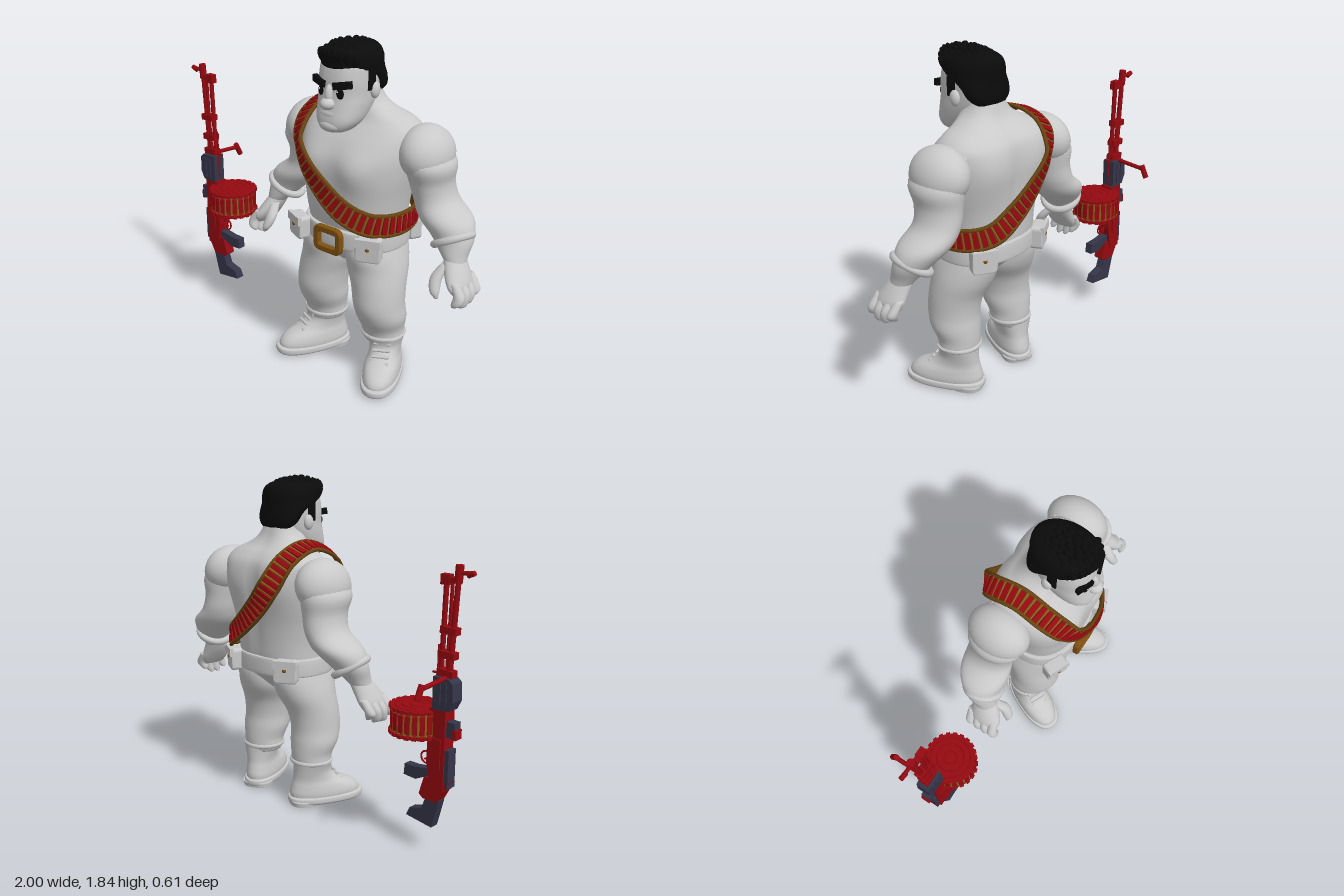
import * as THREE from 'three';

const mat = (name, color, side = THREE.FrontSide) => {
  const m = new THREE.MeshStandardMaterial({ color, side });
  m.name = name;
  return m;
};
const V = (x, y, z) => new THREE.Vector3(x, y, z);

// Smooth stack of (super)ellipses; rows are [y, cx, cz, rx, rz]
function loft(rows, { n = 32, sub = 5, p = 2, bump } = {}) {
  if (rows[0][0] > rows.at(-1)[0]) rows = [...rows].reverse();
  const A = new THREE.CatmullRomCurve3(rows.map(r => V(r[1], r[0], r[2])), false, 'catmullrom');
  const B = new THREE.CatmullRomCurve3(rows.map(r => V(r[3], 0, r[4])), false, 'catmullrom');
  const m = (rows.length - 1) * sub, pos = [], idx = [];
  const pw = v => Math.sign(v) * Math.abs(v) ** (2 / p);
  for (let j = 0; j <= m; j++) {
    const c = A.getPoint(j / m), r = B.getPoint(j / m);
    for (let i = 0; i < n; i++) {
      const a = i / n * Math.PI * 2;
      const v = V(c.x + r.x * pw(Math.cos(a)), c.y, c.z + r.z * pw(Math.sin(a)));
      if (bump) bump(v);
      pos.push(v.x, v.y, v.z);
      if (j < m) {
        const q = j * n + i, e = j * n + (i + 1) % n;
        idx.push(q, q + n, e, e, q + n, e + n);
      }
    }
  }
  const b = pos.length / 3, c0 = A.getPoint(0), c1 = A.getPoint(1);
  pos.push(c0.x, c0.y, c0.z, c1.x, c1.y, c1.z);
  for (let i = 0; i < n; i++) {
    const k = (i + 1) % n;
    idx.push(b, i, k, b + 1, m * n + k, m * n + i);
  }
  const g = new THREE.BufferGeometry();
  g.setAttribute('position', new THREE.Float32BufferAttribute(pos, 3));
  g.setIndex(idx);
  g.computeVertexNormals();
  return g;
}

export function createModel() {
  const light = mat('light grey', 0xc9c9c9), black = mat('black', 0x0b0b0c), red = mat('red', 0x960910);
  const brown = mat('leather brown', 0x6b4512, THREE.DoubleSide), gold = mat('brass', 0x86621c);
  const bronze = mat('bronze', 0x80500f), dark = mat('slate', 0x35354a);
  const root = new THREE.Group(), body = new THREE.Group();
  body.name = 'figure';
  body.position.x = 0.27;
  root.add(body);

  const add = (parent, name, geo, m, x = 0, y = 0, z = 0) => {
    const o = new THREE.Mesh(geo, m);
    o.name = name;
    o.position.set(x, y, z);
    parent.add(o);
    return o;
  };
  const unit = new THREE.SphereGeometry(1, 24, 16);
  const ball = (parent, name, m, x, y, z, sx, sy, sz) => {
    const o = add(parent, name, unit, m, x, y, z);
    o.scale.set(sx, sy, sz);
    return o;
  };
  const box = (parent, name, m, w, h, d, x, y, z, rz = 0) => {
    const o = add(parent, name, new THREE.BoxGeometry(w, h, d), m, x, y, z);
    o.rotation.z = rz;
    return o;
  };
  const rod = (parent, name, m, a, b, r, r2 = r) => {
    const d = b.clone().sub(a), o = add(parent, name, new THREE.CylinderGeometry(r2, r, d.length(), 12), m);
    o.position.copy(a).addScaledVector(d, 0.5);
    o.quaternion.setFromUnitVectors(V(0, 1, 0), d.normalize());
    return o;
  };

  // Torso with chest and shoulder-blade bulges
  const gauss = (d, w) => Math.exp(-d * d / (w * w));
  add(body, 'torso', loft([
    [0.66, 0, 0.02, 0.06, 0.1], [0.71, 0, 0.02, 0.2, 0.15], [0.77, 0, 0.01, 0.268, 0.195], [0.86, 0, 0, 0.265, 0.205],
    [0.95, 0, 0.005, 0.272, 0.218], [1.05, 0, 0.003, 0.288, 0.225], [1.15, 0, -0.003, 0.31, 0.23], [1.25, 0, -0.013, 0.325, 0.23],
    [1.33, 0, -0.03, 0.33, 0.21], [1.39, 0, -0.045, 0.32, 0.18], [1.435, 0, -0.045, 0.275, 0.145],
    [1.47, 0, -0.03, 0.2, 0.12], [1.51, 0, -0.015, 0.14, 0.105], [1.56, 0, 0, 0.108, 0.1], [1.62, 0, 0.01, 0.1, 0.09]],
  { n: 64, p: 2.4, bump: v => {
    const w = gauss(Math.abs(v.x) - 0.14, 0.1);
    if (v.z > 0.02) v.z += 0.032 * w * gauss(v.y - 1.2, 0.1);
    else v.z += 0.02 * gauss(v.x, 0.04) * gauss(v.y - 1.2, 0.25) - 0.02 * gauss(Math.abs(v.x) - 0.2, 0.12) * gauss(v.y - 1.27, 0.14);
  } }), light);

  // Head and face
  add(body, 'head', loft([
    [1.388, 0, 0.175, 0.05, 0.05], [1.405, 0, 0.172, 0.08, 0.083], [1.45, 0, 0.15, 0.113, 0.113], [1.52, 0, 0.11, 0.128, 0.14],
    [1.58, 0, 0.085, 0.132, 0.155], [1.66, 0, 0.078, 0.135, 0.158], [1.74, 0, 0.065, 0.125, 0.145], [1.79, 0, 0.05, 0.06, 0.08]],
  { p: 2.4 }), light);
  ball(body, 'nose', light, 0, 1.535, 0.25, 0.038, 0.03, 0.04);
  ball(body, 'noseBridge', light, 0, 1.575, 0.235, 0.022, 0.055, 0.03);
  ball(body, 'muzzle', light, 0, 1.48, 0.215, 0.085, 0.04, 0.045);
  ball(body, 'chin', light, 0, 1.425, 0.23, 0.065, 0.035, 0.04);
  for (const s of [-1, 1]) {
    ball(body, 'ear', light, s * 0.138, 1.59, 0.06, 0.022, 0.042, 0.03);
    ball(body, 'eye', black, s * 0.056, 1.588, 0.226, 0.021, 0.028, 0.014);
    ball(body, 'eyeGlint', light, s * 0.056 - 0.006, 1.598, 0.238, 0.004, 0.005, 0.004);
    const brow = box(body, 'eyebrow', black, 0.095, 0.034, 0.024, s * 0.072, 1.632, 0.227, s * 0.15);
    brow.rotation.y = s * 0.32;
    box(body, 'sideburn', black, 0.02, 0.1, 0.05, s * 0.132, 1.645, 0.085);
  }

  // Hair: cap with a quiff leaning forward, plus swept tufts
  add(body, 'hair', loft([
    [1.55, 0, -0.055, 0.08, 0.035], [1.59, 0, -0.035, 0.125, 0.07], [1.64, 0, -0.01, 0.139, 0.095], [1.68, 0, 0.035, 0.141, 0.138],
    [1.7, 0, 0.06, 0.141, 0.165], [1.74, 0, 0.065, 0.138, 0.17], [1.775, 0, 0.08, 0.12, 0.178], [1.8, 0, 0.085, 0.085, 0.15],
    [1.81, 0, 0.08, 0.04, 0.09]], { p: 2.1 }), black);
  for (let i = 0; i < 44; i++) {
    const a = i * 2.39996, r = Math.sqrt((i + 0.5) / 44), front = Math.max(0, Math.sin(a) * r);
    const t = ball(body, 'hairTuft', black, 0.1 * r * Math.cos(a), 1.795 - 0.045 * r ** 3 + front * 0.02,
      0.08 + 0.155 * r * Math.sin(a), 0.016, 0.04 - 0.01 * r, 0.026);
    t.rotation.set(front * 0.9 - 0.5, 0, -0.5 * r * Math.cos(a));
  }
  for (let i = -4; i <= 4; i++) {
    const t = ball(body, 'quiffTuft', black, i * 0.025, 1.765 - 0.002 * i * i, 0.228 - 0.004 * i * i, 0.019, 0.05, 0.024);
    t.rotation.set(0.45, 0, -i * 0.08);
  }

  for (const s of [-1, 1]) {
    // Arm, cuff and hand
    const side = rows => rows.map(([y, x, ...r]) => [y, s * x, ...r]);
    const shoulder = ball(body, 'shoulder', light, s * 0.372, 1.29, -0.065, 0.125, 0.145, 0.17);
    shoulder.rotation.z = s * 0.35;
    add(body, 'arm', loft(side([[1.38, 0.31, -0.065, 0.08, 0.1], [1.26, 0.39, -0.065, 0.12, 0.155], [1.15, 0.4, -0.08, 0.105, 0.135],
      [1.06, 0.425, -0.09, 0.11, 0.128], [0.98, 0.492, -0.08, 0.14, 0.132], [0.9, 0.55, -0.06, 0.11, 0.1],
      [0.83, 0.585, -0.03, 0.07, 0.075], [0.79, 0.605, -0.015, 0.05, 0.06]])), light);
    const cuff = add(body, 'gloveCuff', new THREE.TorusGeometry(0.096, 0.02, 10, 32), light, s * 0.56, 0.885, -0.05);
    cuff.rotation.set(Math.PI / 2 - 0.2, s * 0.5, 0);
    add(body, 'palm', loft(side([[0.84, 0.58, -0.03, 0.05, 0.055], [0.76, 0.622, 0, 0.055, 0.08],
      [0.7, 0.655, 0.015, 0.047, 0.092], [0.66, 0.665, 0.015, 0.025, 0.07]])), light);
    for (let i = 0; i < 4; i++) {
      const z = 0.087 - i * 0.047, e = [0.61, 0.59, 0.595, 0.62][i];
      add(body, 'finger', loft(side([[0.73, 0.66, z - 0.01, 0.022, 0.022], [0.67, 0.697, z, 0.029, 0.027],
        [e + 0.02, 0.692, z + 0.01, 0.027, 0.025], [e, 0.675, z + 0.012, 0.01, 0.01]]), { n: 14 }), light);
    }
    add(body, 'thumb', loft(side([[0.79, 0.58, 0.03, 0.025, 0.025], [0.73, 0.56, 0.08, 0.03, 0.03],
      [0.67, 0.57, 0.11, 0.026, 0.025], [0.635, 0.585, 0.115, 0.01, 0.01]]), { n: 14 }), light);

    // Trouser leg
    add(body, 'leg', loft(side([[0.22, 0.2, 0.015, 0.1, 0.1], [0.255, 0.2, 0.015, 0.115, 0.11], [0.3, 0.2, 0.02, 0.117, 0.118],
      [0.37, 0.2, 0.04, 0.135, 0.135], [0.45, 0.195, 0.055, 0.135, 0.145], [0.55, 0.182, 0.045, 0.142, 0.153],
      [0.65, 0.155, 0.02, 0.155, 0.178], [0.74, 0.143, 0.015, 0.142, 0.2], [0.82, 0.13, 0.01, 0.128, 0.188]])), light);
    const hem = add(body, 'trouserHem', new THREE.TorusGeometry(0.108, 0.014, 8, 32), light, s * 0.2, 0.255, 0.015);
    hem.rotation.x = Math.PI / 2;

    // Boot, toes turned out
    const boot = new THREE.Group();
    boot.name = 'boot';
    boot.position.x = s * 0.212;
    boot.rotation.y = s * 0.43;
    body.add(boot);
    add(boot, 'bootUpper', loft([[0.03, 0, 0.085, 0.092, 0.205], [0.07, 0, 0.082, 0.097, 0.207], [0.11, 0, 0.067, 0.092, 0.183],
      [0.15, 0, 0.03, 0.083, 0.135], [0.2, 0, 0.008, 0.088, 0.108], [0.26, 0, 0.012, 0.103, 0.11]], { p: 2.2 }), light);
    add(boot, 'sole', loft([[0.008, 0, 0.088, 0.092, 0.212], [0.02, 0, 0.088, 0.102, 0.222], [0.045, 0, 0.088, 0.102, 0.222],
      [0.052, 0, 0.088, 0.092, 0.207]], { p: 2.4 }), light);
    add(boot, 'heel', loft([[0, 0, -0.04, 0.085, 0.085], [0.03, 0, -0.04, 0.09, 0.09]], { p: 2.6 }), light);
    for (let i = 0; i < 4; i++)
      rod(boot, 'lace', light, V(-0.045, 0.135 + i * 0.028, 0.165 - i * 0.02), V(0.045, 0.14 + i * 0.028, 0.165 - i * 0.02), 0.008);
  }

  // Belt, buckle and pouches
  add(body, 'belt', loft([[0.77, 0, 0.005, 0.276, 0.215], [0.78, 0, 0.005, 0.287, 0.226], [0.86, 0, 0.005, 0.285, 0.224],
    [0.87, 0, 0.005, 0.272, 0.212]], { n: 48, p: 2.3 }), light);
  const rounded = (S, w, h, r) => {
    const s = new S();
    s.moveTo(-w + r, -h).lineTo(w - r, -h).quadraticCurveTo(w, -h, w, -h + r).lineTo(w, h - r).quadraticCurveTo(w, h, w - r, h);
    s.lineTo(-w + r, h).quadraticCurveTo(-w, h, -w, h - r).lineTo(-w, -h + r).quadraticCurveTo(-w, -h, -w + r, -h);
    return s;
  };
  const frame = rounded(THREE.Shape, 0.083, 0.064, 0.035);
  frame.holes.push(rounded(THREE.Path, 0.063, 0.044, 0.02));
  add(body, 'buckle', new THREE.ExtrudeGeometry(frame, { depth: 0.02, bevelSize: 0.007, bevelThickness: 0.007, bevelSegments: 3 }),
    bronze, 0, 0.812, 0.232);
  const pouchGeo = new THREE.ExtrudeGeometry(rounded(THREE.Shape, 0.058, 0.055, 0.015),
    { depth: 0.05, bevelSize: 0.008, bevelThickness: 0.008, bevelSegments: 2 });
  for (const s of [-1, 1]) for (const [x, z, yaw] of [[0.222, 0.178, 0.4], [0.2, -0.165, Math.PI - 0.5]]) {
    const p = new THREE.Group();
    p.name = 'pouch';
    p.position.set(s * x, 0.815, z);
    p.rotation.y = s * yaw;
    body.add(p);
    add(p, 'pouchBody', pouchGeo, light);
    box(p, 'pouchFlap', light, 0.13, 0.045, 0.02, 0, 0.042, 0.057);
    ball(p, 'stud', bronze, 0, 0.012, 0.062, 0.011, 0.011, 0.008);
  }

  // Cartridge strap: right shoulder to left hip and round the back
  const strap = new THREE.Group();
  strap.name = 'cartridgeStrap';
  body.add(strap);
  const path = new THREE.CatmullRomCurve3([[-0.235, 1.475, -0.03], [-0.235, 1.42, 0.13], [-0.2, 1.32, 0.23], [-0.13, 1.215, 0.265],
    [-0.03, 1.11, 0.27], [0.11, 1.0, 0.255], [0.23, 0.945, 0.195], [0.296, 0.925, 0.04], [0.27, 0.93, -0.13], [0.18, 0.96, -0.225],
    [0.05, 1.05, -0.258], [-0.08, 1.17, -0.268], [-0.18, 1.3, -0.262], [-0.23, 1.42, -0.19]].map(a => V(...a)), true);
  const at = t => {
    const P = path.getPointAt(t % 1), T = path.getTangentAt(t % 1);
    const N = V(P.x, Math.max(0, P.y - 1.3) * 4, P.z).normalize();
    N.addScaledVector(T, -N.dot(T)).normalize();
    return { P, T, N, S: T.clone().cross(N) };
  };
  const pos = [], idx = [], edges = [[], []], steps = 120;
  for (let i = 0; i < steps; i++) {
    const { P, N, S } = at(i / steps), q = 2 * i, e = 2 * ((i + 1) % steps);
    [-1, 1].forEach((s, k) => {
      const v = P.clone().addScaledVector(S, s * 0.053);
      pos.push(v.x, v.y, v.z);
      edges[k].push(v.addScaledVector(N, 0.008));
    });
    idx.push(q, q + 1, e, e, q + 1, e + 1);
  }
  const band = new THREE.BufferGeometry();
  band.setAttribute('position', new THREE.Float32BufferAttribute(pos, 3));
  band.setIndex(idx);
  band.computeVertexNormals();
  add(strap, 'strapBand', band, brown);
  for (const e of edges) add(strap, 'strapEdge', new THREE.TubeGeometry(new THREE.CatmullRomCurve3(e, true), 160, 0.011, 6, true), brown);
  const loopGeo = new THREE.BoxGeometry(0.026, 0.016, 0.086), shellGeo = new THREE.CylinderGeometry(0.004, 0.008, 0.095, 8);
  shellGeo.rotateX(Math.PI / 2);
  for (let i = 0; i < 112; i++) {
    const { P, T, N, S } = at(i / 112), o = add(strap, i % 2 ? 'cartridge' : 'redLoop', i % 2 ? shellGeo : loopGeo, i % 2 ? gold : red);
    o.quaternion.setFromRotationMatrix(new THREE.Matrix4().makeBasis(T, N, S.clone()));
    o.position.copy(P).addScaledVector(N, 0.011);
  }

  // Upright long gun beside the figure
  const gun = new THREE.Group();
  gun.name = 'gun';
  root.add(gun);
  const plate = (name, m, pts, d) => add(gun, name,
    new THREE.ExtrudeGeometry(new THREE.Shape(pts.map(p => new THREE.Vector2(...p))), { depth: d, bevelEnabled: false }), m, 0, 0, -d / 2);
  rod(gun, 'barrel', red, V(-0.875, 0.92, 0), V(-0.912, 1.47, 0), 0.016, 0.013);
  rod(gun, 'muzzle', red, V(-0.907, 1.4, 0), V(-0.913, 1.485, 0), 0.02);
  rod(gun, 'frontSight', red, V(-0.91, 1.445, 0), V(-0.985, 1.455, 0), 0.01);
  rod(gun, 'sightPost', red, V(-0.995, 1.455, 0), V(-0.96, 1.44, 0), 0.013);
  rod(gun, 'gasTube', red, V(-0.828, 0.92, 0), V(-0.842, 1.42, 0), 0.013);
  rod(gun, 'cleaningRod', red, V(-0.852, 0.92, 0.012), V(-0.868, 1.42, 0.012), 0.009);
  box(gun, 'tubeCap', red, 0.05, 0.05, 0.036, -0.842, 1.41, 0);
  box(gun, 'barrelBracket', red, 0.07, 0.025, 0.03, -0.875, 1.41, 0);
  for (const y of [0.96, 1.05, 1.17]) box(gun, 'barrelClamp', red, 0.09, 0.035, 0.045, -0.862 - (y - 0.95) * 0.05, y, 0, 0.05);
  rod(gun, 'sidePin', red, V(-0.81, 0.95, 0), V(-0.78, 0.95, 0), 0.006);
  rod(gun, 'sideRod', red, V(-0.81, 0.8, 0), V(-0.81, 1.09, 0), 0.005);
  plate('handguard', dark, [[-0.925, 0.92], [-0.93, 0.83], [-0.905, 0.78], [-0.81, 0.77], [-0.81, 0.94], [-0.9, 0.94]], 0.075);
  for (const x of [-0.885, -0.85]) box(gun, 'handguardRib', dark, 0.015, 0.12, 0.088, x, 0.86, 0);
  plate('receiver', red, [[-0.89, 0.78], [-0.89, 0.36], [-0.81, 0.36], [-0.785, 0.5], [-0.795, 0.78]], 0.075);
  plate('receiverHeel', red, [[-0.915, 0.41], [-0.85, 0.29], [-0.765, 0.29], [-0.74, 0.31], [-0.77, 0.41]], 0.06);
  box(gun, 'rearRail', dark, 0.05, 0.08, 0.05, -0.912, 0.685, 0);
  box(gun, 'rearCover', dark, 0.025, 0.2, 0.06, -0.9, 0.48, 0);
  box(gun, 'rearSight', red, 0.02, 0.05, 0.05, -0.935, 0.665, 0);
  box(gun, 'bolt', red, 0.05, 0.16, 0.09, -0.845, 0.55, 0);
  plate('grip', dark, [[-0.8, 0.455], [-0.7, 0.44], [-0.64, 0.44], [-0.635, 0.38], [-0.71, 0.375], [-0.8, 0.42]], 0.045);
  add(gun, 'triggerGuard', new THREE.TorusGeometry(0.032, 0.005, 6, 20), red, -0.758, 0.5, 0);
  rod(gun, 'trigger', red, V(-0.79, 0.5, 0), V(-0.75, 0.49, 0), 0.006);
  plate('stock', dark, [[-0.86, 0.3], [-0.78, 0.3], [-0.755, 0.23], [-0.68, 0.21], [-0.66, 0.165], [-0.82, 0.145], [-0.835, 0.2]], 0.05);
  rod(gun, 'sideHandle', red, V(-0.87, 0.94, 0), V(-0.87, 0.925, -0.2), 0.012);
  rod(gun, 'sideHandleGrip', red, V(-0.87, 0.945, -0.2), V(-0.87, 0.875, -0.235), 0.016);

  // Drum full of cartridges
  const drum = new THREE.Group();
  drum.name = 'drum';
  drum.position.set(-0.692, 0.69, 0);
  gun.add(drum);
  add(drum, 'drumCore', new THREE.CylinderGeometry(0.118, 0.118, 0.13, 36), brown);
  for (const s of [-1, 1]) {
    add(drum, 'drumPlate', new THREE.CylinderGeometry(0.134, 0.134, 0.016, 36), red, 0, s * 0.065, 0);
    for (const r of [0.035, 0.075, 0.11])
      add(drum, 'drumRing', new THREE.TorusGeometry(r, 0.004, 6, 36), red, 0, s * 0.073, 0).rotation.x = Math.PI / 2;
  }
  for (let i = 0; i < 22; i++) {
    const a = i / 22 * Math.PI * 2, b = a + Math.PI / 22;
    box(drum, 'drumLoop', red, 0.026, 0.09, 0.024, 0.122 * Math.sin(a), 0, 0.122 * Math.cos(a)).rotation.y = a;
    add(drum, 'drumCartridge', new THREE.CylinderGeometry(0.006, 0.01, 0.11, 8), gold, 0.124 * Math.sin(b), 0, 0.124 * Math.cos(b));
    for (const s of [-1, 1]) box(drum, 'drumTooth', red, 0.022, 0.016, 0.014, 0.135 * Math.sin(a), s * 0.065, 0.135 * Math.cos(a)).rotation.y = a;
  }
  return root;
}
